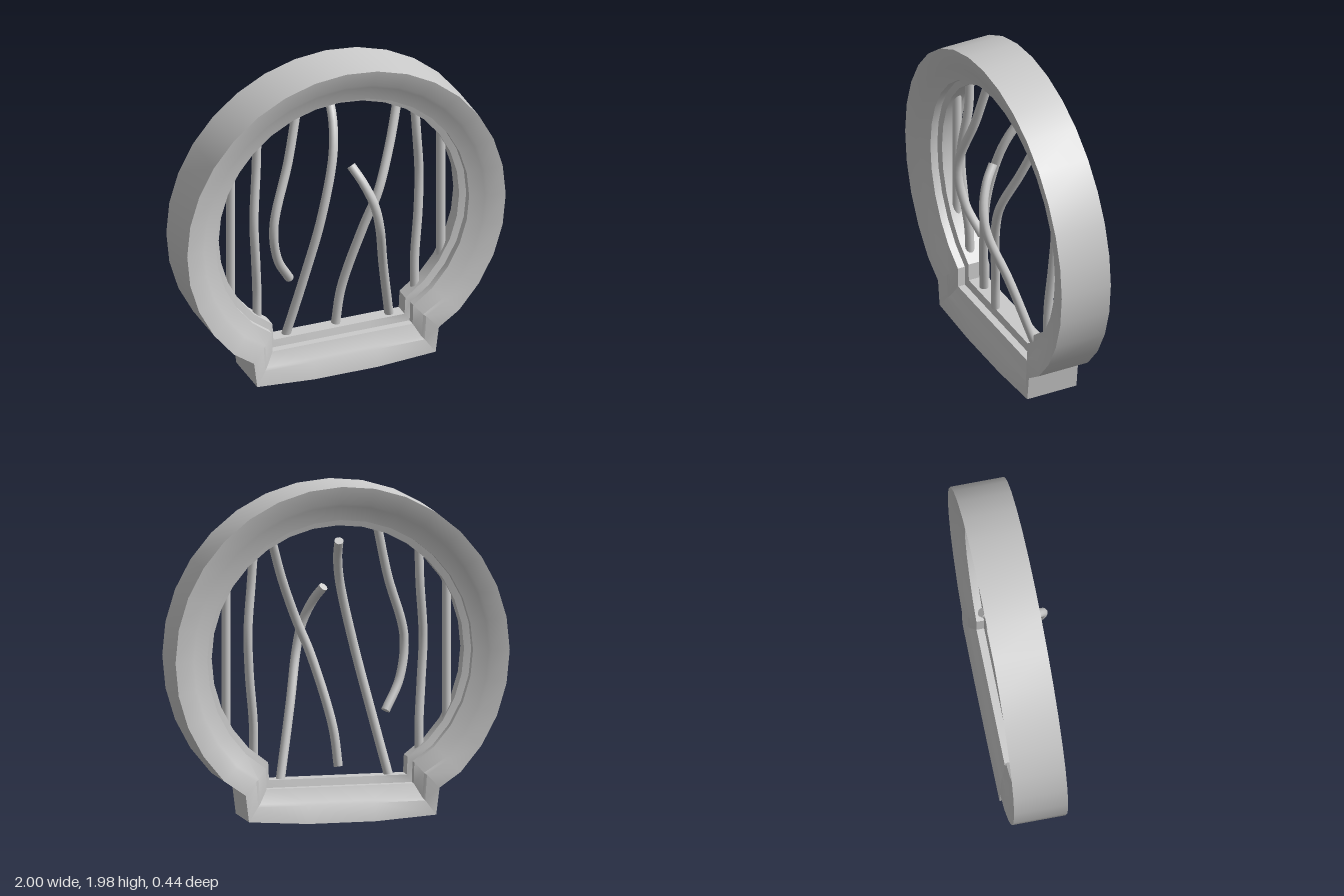
import * as THREE from 'three';
import { toCreasedNormals } from 'three/addons/utils/BufferGeometryUtils.js';

const CENTRE_Y = 0.977;
const MID_Z = -0.046;

// Nested outlines: circle radius, notch corner, foot corner, foot middle height
const OUTLINES = [
  { r: 1.0, notch: [0.58, 0.182], foot: [0.56, 0.024], base: 0 },
  { r: 0.9, notch: [0.51, 0.257], foot: [0.5, 0.107], base: 0.104 },
  { r: 0.882, notch: [0.495, 0.268], foot: [0.486, 0.122], base: 0.12 },
  { r: 0.795, notch: [0.444, 0.326], foot: [0.44, 0.204], base: 0.204 },
  { r: 0.755, notch: [0.417, 0.353], foot: [0.412, 0.248], base: 0.248 },
];

// Round arch of 24 segments closed by a notched foot, counter-clockwise
function outline({ r, notch, foot, base }) {
  const pts = [];
  for (let i = 0; i <= 24; i++) {
    const a = -Math.PI / 4 + (i * Math.PI) / 16;
    pts.push([r * Math.cos(a), CENTRE_Y + r * Math.sin(a)]);
  }
  pts.push([-notch[0], notch[1]], [-foot[0], foot[1]], [-0.2, base]);
  pts.push([0.2, base], foot, notch);
  return pts;
}

// Sweeps the dished, stepped section (outline index, depth from mid plane) round the frame
function frameGeometry() {
  const front = [[0, 0.16], [1, 0.138], [2, 0.128], [3, 0.1], [3, 0.055], [4, 0.045]];
  const back = front.map(([k, z]) => [k, -z]).reverse();
  const section = [...front, ...back];
  const loops = OUTLINES.map(outline);
  const n = loops[0].length;
  const m = section.length;
  const positions = [];
  const index = [];
  for (const [k, z] of section) {
    for (const [x, y] of loops[k]) positions.push(x, y, MID_Z + z);
  }
  for (let j = 0; j < m; j++) {
    for (let i = 0; i < n; i++) {
      const a = j * n + i;
      const b = j * n + ((i + 1) % n);
      const c = ((j + 1) % m) * n + i;
      const d = ((j + 1) % m) * n + ((i + 1) % n);
      index.push(a, b, c, b, d, c);
    }
  }
  const g = new THREE.BufferGeometry();
  g.setAttribute('position', new THREE.Float32BufferAttribute(positions, 3));
  g.setIndex(index);
  return toCreasedNormals(g, THREE.MathUtils.degToRad(25));
}

// Bent round bar through the given points, with flat end caps
function makeBar(name, points, material) {
  const radius = 0.027;
  const sides = 12;
  const curve = new THREE.CatmullRomCurve3(points.map((p) => new THREE.Vector3(...p)));
  const bar = new THREE.Group();
  bar.name = name;
  const rod = new THREE.Mesh(new THREE.TubeGeometry(curve, 32, radius, sides), material);
  rod.name = 'rod';
  bar.add(rod);
  for (const t of [0, 1]) {
    const cap = new THREE.Mesh(new THREE.CircleGeometry(radius, sides), material);
    cap.name = 'rodEnd';
    const dir = curve.getTangent(t).multiplyScalar(t ? 1 : -1);
    cap.position.copy(curve.getPoint(t));
    cap.quaternion.setFromUnitVectors(new THREE.Vector3(0, 0, 1), dir);
    bar.add(cap);
  }
  return bar;
}

export function createModel() {
  const model = new THREE.Group();
  model.name = 'barredRoundWindow';
  const material = new THREE.MeshStandardMaterial({ color: 0xcccccc });

  const frame = new THREE.Mesh(frameGeometry(), material);
  frame.name = 'windowFrame';
  model.add(frame);

  // Bars, listed from top to bottom
  const bars = {
    rightEdgeBar: [[-0.66, 1.41, -0.05], [-0.66, 0.98, -0.05], [-0.66, 0.55, -0.05]],
    leftEdgeBar: [[0.66, 1.41, -0.05], [0.66, 0.98, -0.05], [0.66, 0.55, -0.05]],
    rightBentBar: [[-0.495, 1.59, -0.05], [-0.502, 1.38, -0.045], [-0.53, 1.05, -0.01],
      [-0.515, 0.78, -0.02], [-0.497, 0.55, -0.045], [-0.495, 0.38, -0.05]],
    leftBentBar: [[0.495, 1.59, -0.05], [0.51, 1.4, -0.055], [0.535, 1.13, -0.08],
      [0.525, 0.88, -0.07], [0.497, 0.58, -0.055], [0.495, 0.38, -0.05]],
    rightBrokenBar: [[-0.245, 1.72, -0.05], [-0.32, 1.41, 0], [-0.433, 1.04, 0.06],
      [-0.4, 0.8, 0.03], [-0.3, 0.62, -0.03]],
    backBentBar: [[0.02, 1.66, -0.2], [0.005, 1.55, -0.105], [-0.03, 1.38, -0.02],
      [-0.123, 1.01, 0.03], [-0.22, 0.62, 0], [-0.315, 0.235, -0.05]],
    leftBrokenBar: [[0.39, 1.67, -0.05], [0.305, 1.41, 0.03], [0.2, 1.15, 0.105],
      [0.118, 0.95, 0.095], [0, 0.53, 0.035], [-0.03, 0.295, 0.02]],
    frontBentBar: [[0.045, 1.345, 0.075], [0.09, 1.26, 0.14], [0.145, 1.12, 0.188],
      [0.18, 0.97, 0.182], [0.245, 0.66, 0.075], [0.335, 0.235, -0.05]],
  };
  for (const [name, points] of Object.entries(bars)) model.add(makeBar(name, points, material));

  return model;
}
